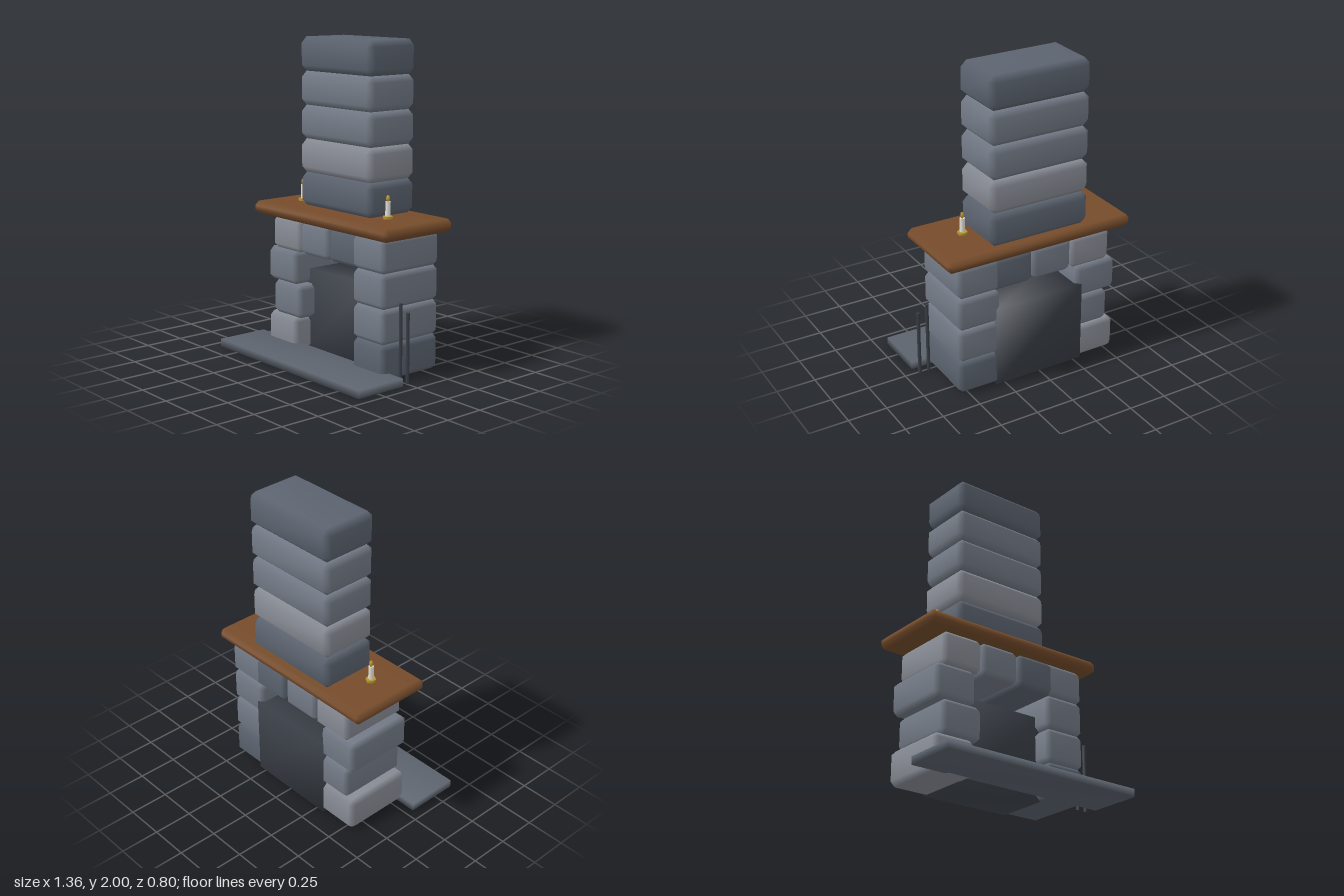
import * as THREE from 'three';
import { mergeVertices } from 'three/addons/utils/BufferGeometryUtils.js';
import { ConvexGeometry } from 'three/addons/geometries/ConvexGeometry.js';

const material = (color) => new THREE.MeshStandardMaterial({ color });
const dark = material(0x5c6470), mid = material(0x747b87), light = material(0x898d96);
const wood = material(0x764c2b), iron = material(0x3a3f47), slab = material(0x5c636d);
const wax = material(0xe8e4da), gold = material(0xb8962e);

// Shared vertices give soft shading across edges
function soften(geometry) {
  geometry.deleteAttribute('normal');
  geometry.deleteAttribute('uv');
  const merged = mergeVertices(geometry, 1e-4);
  merged.computeVertexNormals();
  return merged;
}

// Box with every edge cut off by c
function chamferedBox(w, h, d, c) {
  const points = [];
  for (const sx of [-1, 1]) for (const sy of [-1, 1]) for (const sz of [-1, 1]) {
    for (let outer = 0; outer < 3; outer++) {
      const inset = [c, c, c];
      inset[outer] = 0;
      points.push(new THREE.Vector3(
        sx * (w / 2 - inset[0]), sy * (h / 2 - inset[1]), sz * (d / 2 - inset[2])));
    }
  }
  return soften(new ConvexGeometry(points));
}

export function createModel() {
  const model = new THREE.Group();
  model.name = 'fireplace';

  function add(parent, name, geometry, mat, x, y, z) {
    const mesh = new THREE.Mesh(geometry, mat);
    mesh.name = name;
    mesh.position.set(x, y, z);
    parent.add(mesh);
    return mesh;
  }
  // Place a block by its limits on each axis; no chamfer makes a plain slab
  function block(parent, name, mat, [x0, x1], [y0, y1], [z0, z1], chamfer = 0) {
    const w = x1 - x0, h = y1 - y0, d = z1 - z0;
    const geometry = chamfer
      ? chamferedBox(w, h, d, chamfer)
      : soften(new THREE.BoxGeometry(w, h, d));
    return add(parent, name, geometry, mat, (x0 + x1) / 2, (y0 + y1) / 2, (z0 + z1) / 2);
  }

  // Hearth slab and firebox
  block(model, 'hearth', slab, [-0.68, 0.68], [0, 0.05], [0.05, 0.395]);
  block(model, 'firebox', iron, [-0.305, 0.305], [0, 0.53], [-0.37, -0.02]);

  // Stone surround: two columns and a lintel course
  const surround = new THREE.Group();
  surround.name = 'stoneSurround';
  model.add(surround);
  const rows = [[0, 0.22], [0.22, 0.435], [0.435, 0.65], [0.65, 0.86]];
  const depth = [-0.365, 0.1];
  const rightMats = [light, mid, mid, light], leftMats = [dark, mid, mid, mid];
  rows.forEach((row, i) => {
    const span = i % 2 ? [-0.51, -0.225] : [-0.56, -0.27];
    block(surround, 'rightColumnStone', rightMats[i], span, row, depth, 0.03);
    block(surround, 'leftColumnStone', leftMats[i], [0.268, 0.556], row, depth, 0.03);
  });
  block(surround, 'lintelStone', mid, [-0.23, 0.047], rows[3], depth, 0.03);
  block(surround, 'lintelStone', dark, [0.047, 0.325], rows[3], [-0.366, 0.101], 0.03);

  // Mantel shelf
  block(model, 'mantel', wood, [-0.64, 0.635], [0.86, 0.94], [-0.4, 0.155], 0.027);

  // Chimney courses
  const chimney = new THREE.Group();
  chimney.name = 'chimney';
  model.add(chimney);
  const course = (2 - 0.94) / 5;
  [dark, light, mid, mid, dark].forEach((mat, i) => {
    const y = 0.94 + i * course;
    block(chimney, 'chimneyStone', mat, [-0.343, 0.337], [y, y + course], [-0.37, 0.012], 0.038);
  });

  // Candles on gold dishes
  for (const x of [-0.43, 0.38]) {
    const candle = new THREE.Group();
    candle.name = 'candle';
    candle.position.set(x, 0.94, -0.095);
    model.add(candle);
    add(candle, 'dish', new THREE.CylinderGeometry(0.032, 0.032, 0.016, 6), gold, 0, 0.008, 0);
    add(candle, 'stick', new THREE.CylinderGeometry(0.017, 0.017, 0.09, 6), wax, 0, 0.06, 0);
    const flame = add(candle, 'flame', new THREE.SphereGeometry(0.013, 6, 4), gold, 0, 0.122, 0);
    flame.scale.y = 1.75;
  }

  // Fire irons
  for (const [x, height] of [[0.592, 0.475], [0.653, 0.43]]) {
    add(model, 'poker', new THREE.CylinderGeometry(0.011, 0.011, height, 6), iron, x, height / 2, -0.01);
  }
  return model;
}
